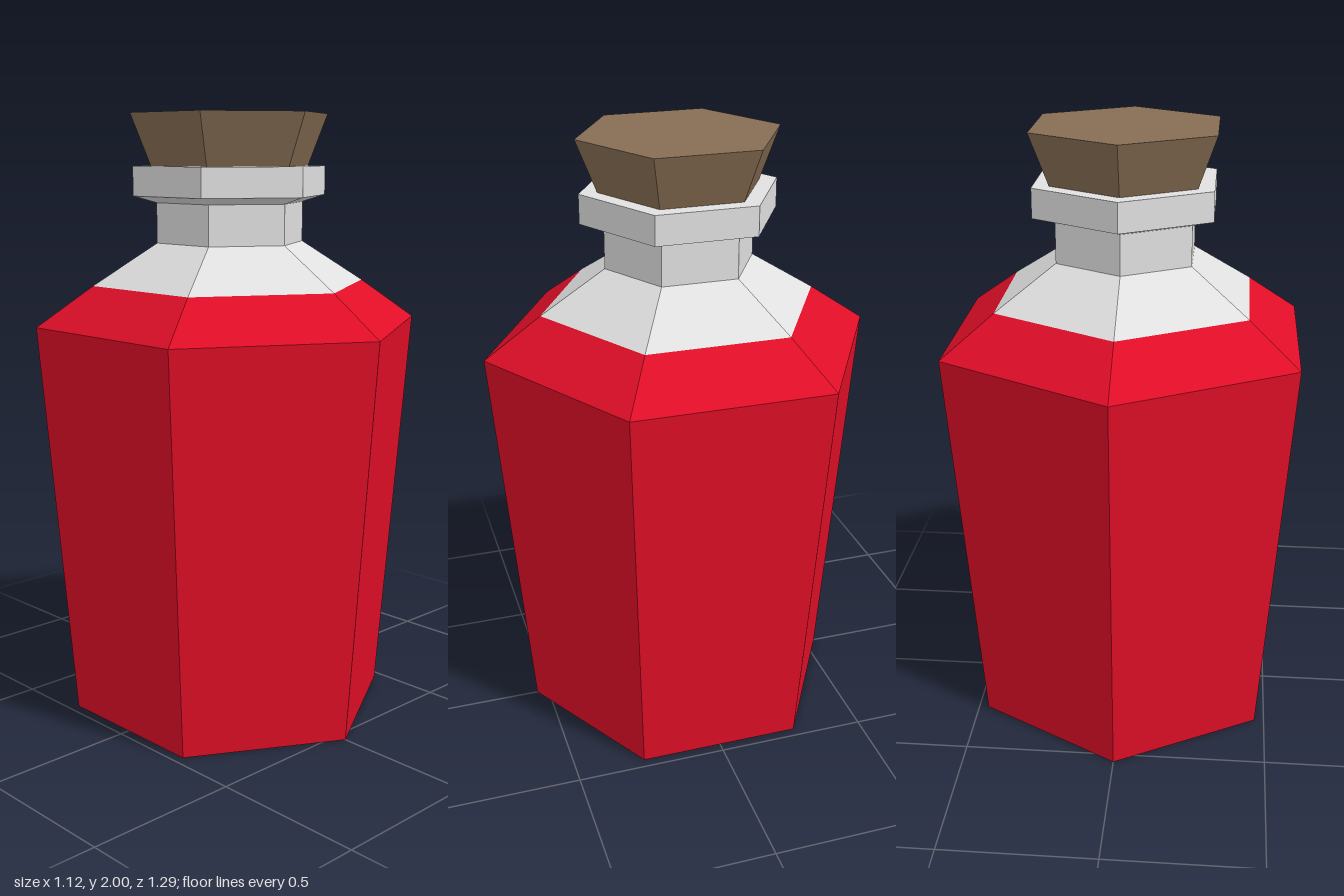
import * as THREE from 'three';

const material = (name, color) => {
  const m = new THREE.MeshStandardMaterial({ color, flatShading: true });
  m.name = name;
  return m;
};

// Six-sided turned part from [radius, height] points, bottom to top; corners face front and back
function hexPart(name, profile, mat) {
  const points = profile.map(([r, y]) => new THREE.Vector2(r, y));
  const mesh = new THREE.Mesh(new THREE.LatheGeometry(points, 6), mat);
  mesh.name = name;
  return mesh;
}

export function createModel() {
  const liquid = material('red liquid', 0xe00e27);
  const glass = material('pale glass', 0xe0e0e0);
  const cork = material('brown cork', 0x876e54);

  const bottle = new THREE.Group();
  bottle.name = 'potionBottle';
  bottle.add(
    // Filled body, tapering to the closed base, up to the liquid line
    hexPart('filledBody', [[0, 0], [0.54, 0], [0.647, 1.32], [0.46, 1.45]], liquid),
    // Empty upper shoulder, neck and lip
    hexPart('shoulderAndNeck', [[0.46, 1.45], [0.247, 1.585], [0.247, 1.715]], glass),
    hexPart('lip', [[0.247, 1.715], [0.324, 1.737], [0.324, 1.832], [0.24, 1.832]], glass),
    // Flared stopper
    hexPart('stopper', [[0, 1.8], [0.252, 1.8], [0.331, 2], [0, 2]], cork)
  );
  return bottle;
}
